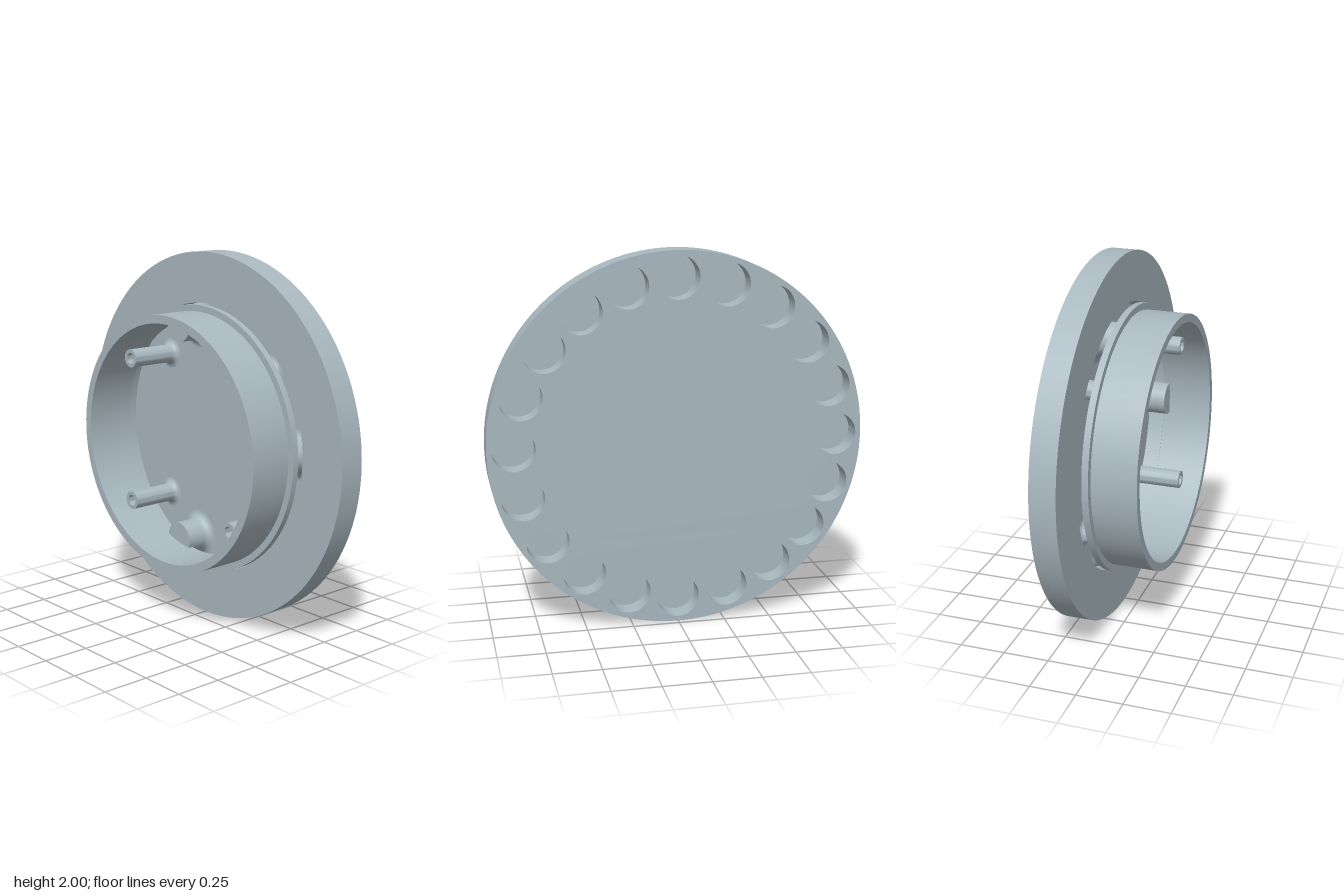
import * as THREE from 'three';
import { toCreasedNormals } from 'three/addons/utils/BufferGeometryUtils.js';

const BACK = -0.22, FLOOR = -0.17, HOLE_END = -0.11, FRONT = -0.08;
const RECESS = 0.73;

export function createModel() {
  const grey = new THREE.MeshStandardMaterial({ color: 0xa9b8c0 });
  grey.name = 'blue grey';

  const model = new THREE.Group();
  model.name = 'roundHousing';
  const body = new THREE.Group();
  body.name = 'body';
  body.position.y = 1;
  model.add(body);

  const add = (name, geometry, x = 0, y = 0) => {
    const mesh = new THREE.Mesh(toCreasedNormals(geometry, 0.5), grey);
    mesh.name = name;
    mesh.position.set(x, y, 0);
    body.add(mesh);
    return mesh;
  };
  // Revolve [radius, z] points about the z axis
  const revolve = (points, segments) =>
    new THREE.LatheGeometry(points.map(([r, z]) => new THREE.Vector2(r, z)), segments).rotateX(Math.PI / 2);
  const circle = (Type, x, y, r) => new Type().absarc(x, y, r, 0, Math.PI * 2, false);

  // One layer of the disc, with optional pockets round the rim and a central recess
  const discLayer = (name, z0, z1, pockets, recessed) => {
    const shape = circle(THREE.Shape, 0, 0, 1);
    if (recessed) shape.holes.push(circle(THREE.Path, 0, 0, RECESS));
    for (let i = 0; pockets && i < 20; i++) {
      const a = (i * Math.PI) / 10;
      shape.holes.push(circle(THREE.Path, 0.86 * Math.cos(a), 0.86 * Math.sin(a), 0.113));
    }
    const geometry = new THREE.ExtrudeGeometry(shape, { depth: z1 - z0, bevelEnabled: false, curveSegments: 72 });
    add(name, geometry.translate(0, 0, z0));
  };
  discLayer('discBack', BACK, FLOOR, true, false);
  discLayer('discMiddle', FLOOR, HOLE_END, true, true);
  discLayer('discFront', HOLE_END, FRONT, false, true);

  // Open collar with a flange, floating just in front of the disc
  add('collar', revolve([
    [0.645, -0.055], [0.725, -0.055], [0.725, -0.02], [0.69, -0.02],
    [0.69, 0.22], [0.645, 0.22], [0.645, -0.055],
  ], 128));

  // Concave fillet from the recess floor up to a shaft of radius r
  const fillet = (r, size) => {
    const points = [];
    for (let i = 0; i <= 8; i++) {
      const a = (i / 8) * Math.PI / 2;
      points.push([r + size * (1 - Math.sin(a)), FLOOR + size * (1 - Math.cos(a))]);
    }
    return points;
  };

  // Four hollow screw posts
  for (const sx of [-1, 1]) {
    for (const sy of [-1, 1]) {
      add('screwPost', revolve([
        ...fillet(0.05, 0.035), [0.05, 0.12], [0.03, 0.12], [0.03, -0.05], [0, -0.05],
      ], 40), sx * 0.404, sy * 0.404);
    }
  }

  // Three support pegs under the collar, each with a D-shaped locating tip
  const tip = new THREE.Shape();
  tip.absarc(0, 0, 0.09, 1.417, Math.PI * 2 - 1.417, false);
  tip.absarc(-0.62, 0, 0.64, -0.1394, 0.1394, false);
  for (const degrees of [0, 105, 255]) {
    const a = THREE.MathUtils.degToRad(degrees);
    const x = 0.62 * Math.cos(a), y = 0.62 * Math.sin(a);

    const peg = revolve([...fillet(0.09, 0.045), [0.09, -0.055], [0, -0.055]], 48);
    // Keep the foot inside the recess wall
    const p = peg.attributes.position;
    for (let i = 0; i < p.count; i++) {
      const px = p.getX(i) + x, py = p.getY(i) + y;
      const k = Math.min(1, (RECESS + 0.005) / Math.hypot(px, py));
      p.setXY(i, px * k - x, py * k - y);
    }
    add('supportPeg', peg, x, y);

    const tipGeometry = new THREE.ExtrudeGeometry(tip, { depth: 0.036, bevelEnabled: false, curveSegments: 24 });
    add('pegTip', tipGeometry.translate(0, 0, -0.056), x, y).rotation.z = a;
  }
  return model;
}
